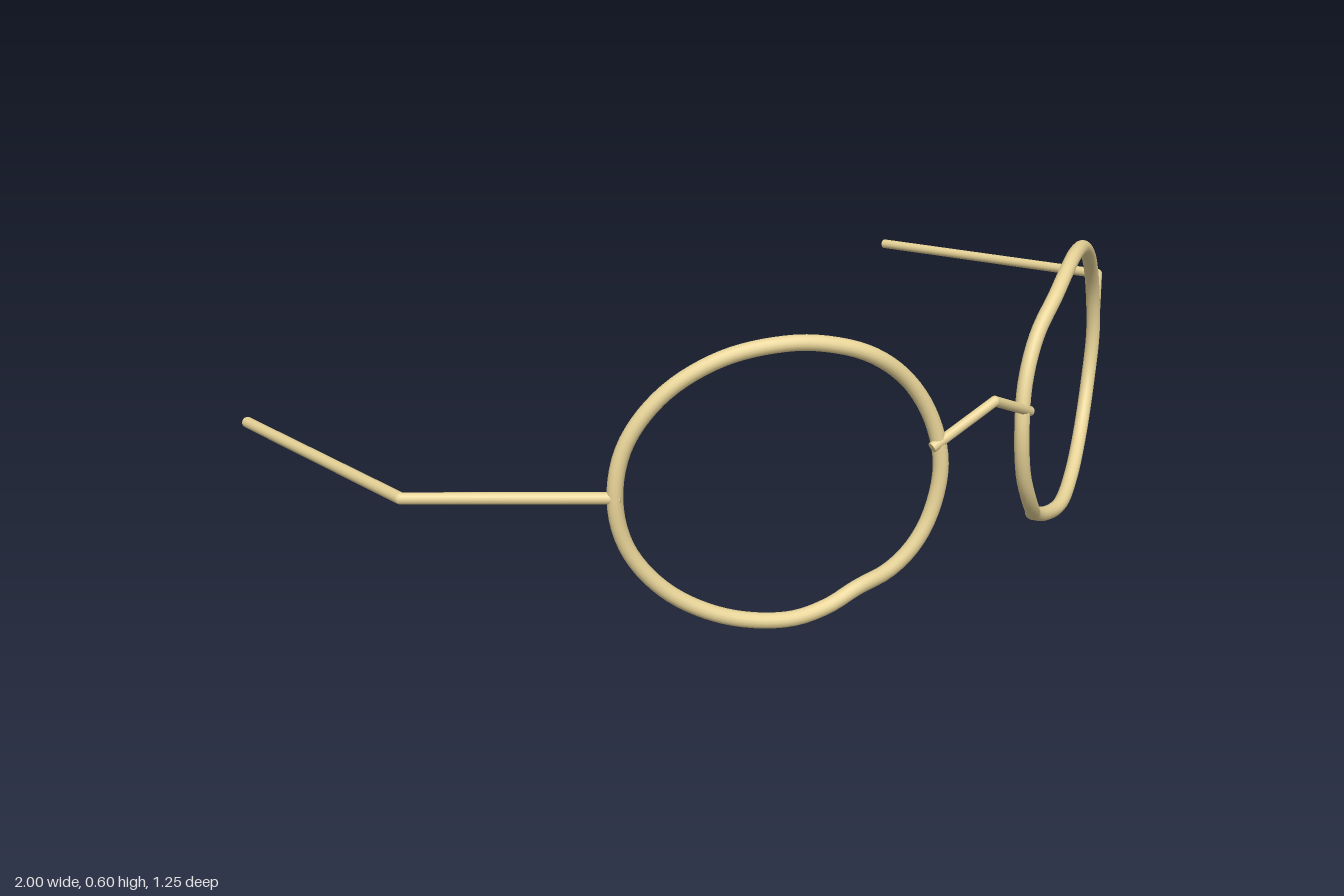
import * as THREE from 'three';

const metal = new THREE.MeshStandardMaterial({ color: 0xe8d498 });
const V = (x, y, z) => new THREE.Vector3(x, y, z);

// Straight wires through the points, with a rounded joint at each inner corner
function wire(name, points, radius) {
  const group = new THREE.Group();
  group.name = name;
  for (let i = 0; i < points.length - 1; i++) {
    const a = points[i], b = points[i + 1];
    const dir = b.clone().sub(a);
    const rod = new THREE.Mesh(new THREE.CylinderGeometry(radius, radius, dir.length(), 12), metal);
    rod.name = name + 'Rod';
    rod.position.copy(a).add(b).multiplyScalar(0.5);
    rod.quaternion.setFromUnitVectors(V(0, 1, 0), dir.normalize());
    group.add(rod);
    if (i > 0) {
      const joint = new THREE.Mesh(new THREE.SphereGeometry(radius, 12, 8), metal);
      joint.name = name + 'Joint';
      joint.position.copy(a);
      group.add(joint);
    }
  }
  return group;
}

// Depth of the rim by angle, starting at its outer end and going over the top
const rimDepth = [
  [0, 0.297], [22, 0.306], [45, 0.343], [68, 0.4], [90, 0.464], [105, 0.505], [120, 0.537],
  [140, 0.556], [160, 0.573], [180, 0.585], [200, 0.579], [215, 0.566], [228, 0.542],
  [240, 0.505], [254, 0.486], [270, 0.459], [292, 0.4], [315, 0.343], [338, 0.306],
];

// Round when seen from the front, swept back towards the temple
function rim(side) {
  const points = rimDepth.map(([deg, z]) => {
    const t = THREE.MathUtils.degToRad(deg);
    return V(side * (0.399 + 0.2825 * Math.cos(t)), 0.298 + 0.2825 * Math.sin(t), z);
  });
  const curve = new THREE.CatmullRomCurve3(points, true);
  return new THREE.Mesh(new THREE.TubeGeometry(curve, 96, 0.0155, 14, true), metal);
}

export function createModel() {
  const model = new THREE.Group();
  model.name = 'spectacles';

  for (const [side, label] of [[1, 'left'], [-1, 'right']]) {
    const ring = rim(side);
    ring.name = label + 'Rim';
    model.add(ring);

    // Temple: end piece out to the hinge, then the arm back and down
    model.add(wire(label + 'Temple', [
      V(side * 0.675, 0.302, 0.305),
      V(side * 0.988, 0.313, 0.055),
      V(side * 0.935, 0.245, -0.622),
    ], 0.0115));
  }

  // Peaked bridge between the rims
  model.add(wire('bridge', [V(-0.14, 0.338, 0.583), V(0, 0.405, 0.613), V(0.14, 0.338, 0.583)], 0.0105));

  return model;
}
